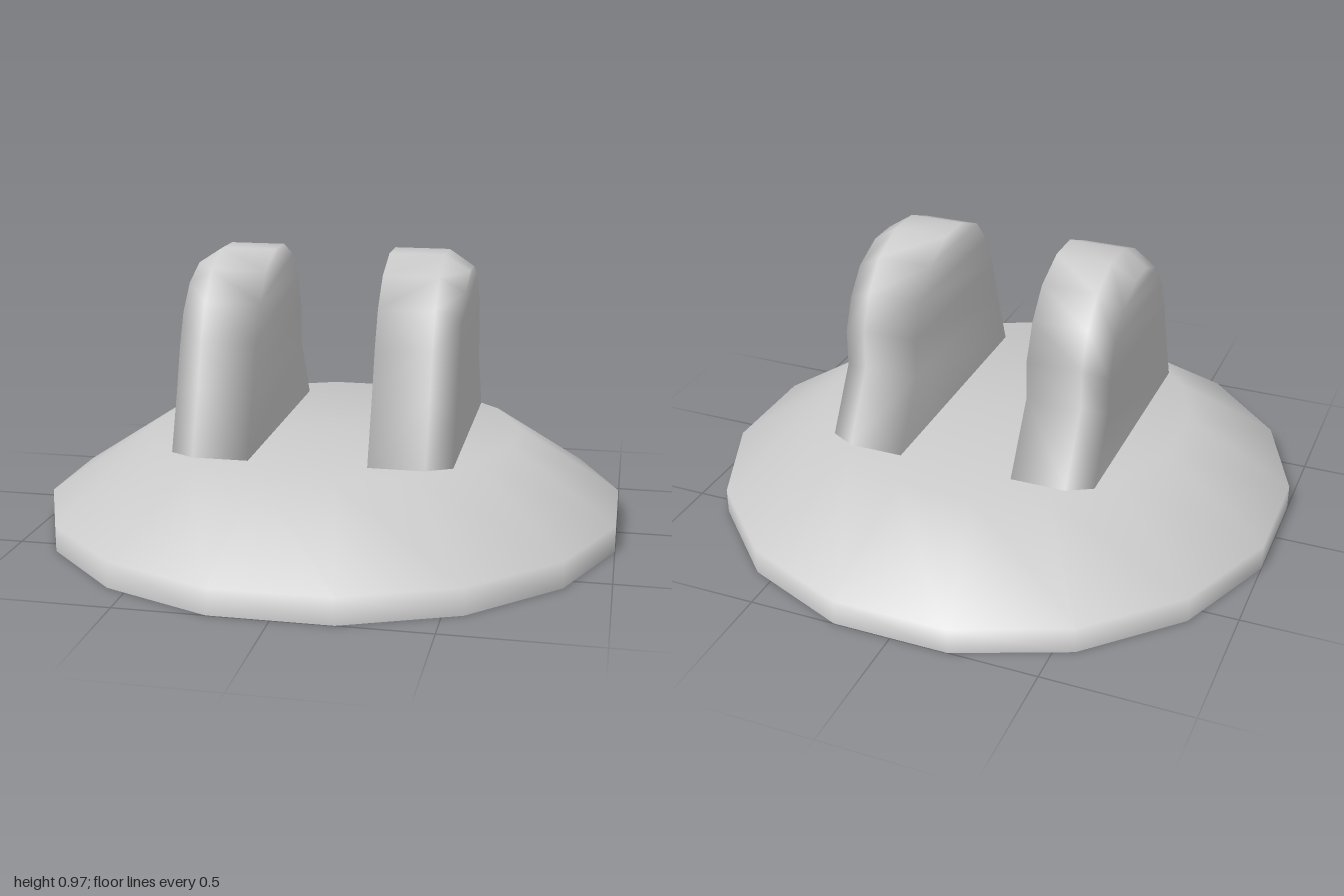
import * as THREE from 'three';

const material = new THREE.MeshStandardMaterial({ color: 0xcccccc, side: THREE.DoubleSide });

// Lug outline as [z, y], from the front foot over the top to the back foot
const OUTLINE = [
  [0.475, 0.29], [0.475, 0.33], [0.4, 0.53], [0.345, 0.7], [0.29, 0.82], [0.2, 0.915], [0.065, 0.97],
  [-0.065, 0.97], [-0.2, 0.915], [-0.285, 0.82], [-0.335, 0.7], [-0.335, 0.56], [-0.475, 0.33], [-0.475, 0.29],
];

// Sections across the lug: x, z scale, height scale above the base (the last one forms the bevel)
const SECTIONS = [[0.2, 1, 1], [0.39, 1, 1], [0.475, 0.9, 0.914]];

function lugGeometry(side) {
  const n = OUTLINE.length;
  const positions = [];
  const indices = [];
  for (const [x, sz, sy] of SECTIONS) {
    for (const [z, y] of OUTLINE) {
      positions.push(side * x, y > 0.33 ? 0.33 + (y - 0.33) * sy : y, z * sz);
    }
  }
  // Mirrored lugs get the opposite winding
  const quad = (a, b, c, d) => {
    if (side > 0) indices.push(a, b, c, a, c, d);
    else indices.push(a, c, b, a, d, c);
  };
  // Curved skin; the foot stays open
  for (let i = 0; i < SECTIONS.length - 1; i++) {
    for (let j = 0; j < n - 1; j++) {
      const a = i * n + j;
      quad(a, a + n, a + n + 1, a + 1);
    }
  }
  // Flat sides, as ladders between the front and back edges
  const last = (SECTIONS.length - 1) * n;
  for (let j = 0; j < n / 2 - 1; j++) {
    const k = n - 1 - j;
    quad(j, j + 1, k - 1, k);
    quad(last + j, last + k, last + k - 1, last + j + 1);
  }
  const geometry = new THREE.BufferGeometry();
  geometry.setAttribute('position', new THREE.Float32BufferAttribute(positions, 3));
  geometry.setIndex(indices);
  geometry.computeVertexNormals();
  return geometry;
}

export function createModel() {
  const model = new THREE.Group();
  model.name = 'studdedDisc';

  // Hollow sixteen-sided base, open underneath, with flat sides facing the axes
  const radius = 1 / Math.cos(Math.PI / 16);
  const profile = [[1, 0], [1, 0.09], [0.64, 0.33], [0, 0.33]]
    .map(([r, y]) => new THREE.Vector2(r * radius, y));
  const base = new THREE.Mesh(new THREE.LatheGeometry(profile, 16, Math.PI / 16), material);
  base.name = 'base';
  model.add(base);

  // Pair of upright lugs
  for (const [name, side] of [['leftLug', 1], ['rightLug', -1]]) {
    const lug = new THREE.Mesh(lugGeometry(side), material);
    lug.name = name;
    model.add(lug);
  }
  return model;
}
